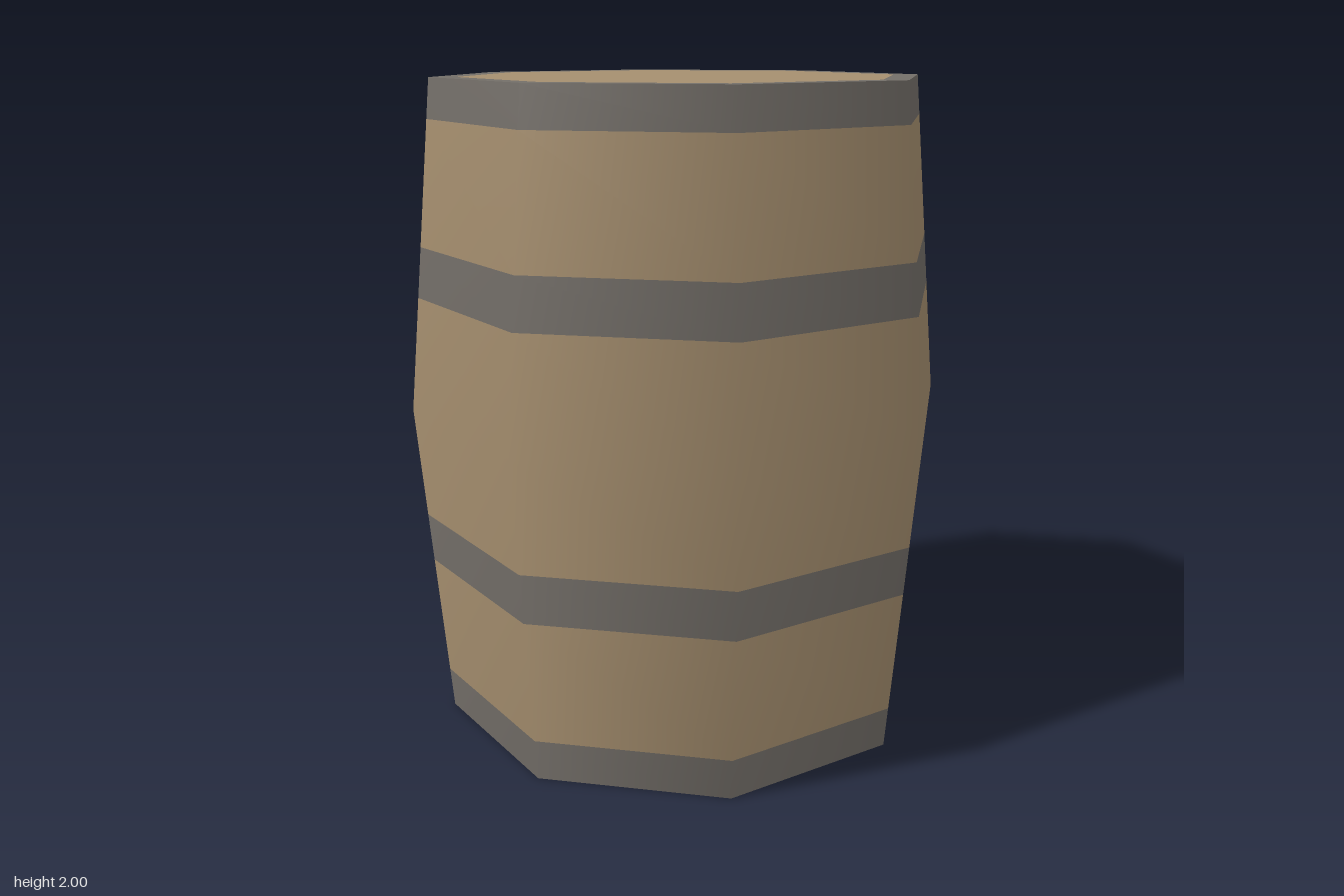
import * as THREE from 'three';

const SIDES = 8;
const TURN = Math.PI / SIDES; // flat sides face the axes
const toCorner = (apothem) => apothem / Math.cos(TURN);
const END = toCorner(0.695), BELLY = toCorner(0.777), RIM = toCorner(0.622);
const radiusAt = (y) => BELLY - (BELLY - END) * Math.abs(y - 1);

// One horizontal band of the barrel wall, with normals following the bulge
function wallBand(y0, y1) {
  const heights = y0 < 1 && y1 > 1 ? [y0, 1, y1] : [y0, y1];
  const points = heights.map((y) => new THREE.Vector2(radiusAt(y), y));
  const geo = new THREE.LatheGeometry(points, SIDES, TURN);
  const pos = geo.attributes.position;
  const n = new THREE.Vector3();
  for (let i = 0; i < pos.count; i++) {
    n.set(pos.getX(i), 0, pos.getZ(i)).normalize();
    n.y = (BELLY - END) * (pos.getY(i) - 1);
    n.normalize();
    geo.attributes.normal.setXYZ(i, n.x, n.y, n.z);
  }
  return geo;
}

export function createModel() {
  const wood = new THREE.MeshStandardMaterial({ color: 0xa68f6f });
  wood.name = 'wood';
  const iron = new THREE.MeshStandardMaterial({ color: 0x746f69 });
  iron.name = 'iron';

  const barrel = new THREE.Group();
  barrel.name = 'barrel';
  const add = (name, geo, material) => {
    const mesh = new THREE.Mesh(geo, material);
    mesh.name = name;
    barrel.add(mesh);
    return mesh;
  };

  // Alternating iron hoops and wooden staves, from bottom to top
  const levels = [0, 0.125, 0.505, 0.657, 1.348, 1.502, 1.88, 2];
  for (let i = 0; i < levels.length - 1; i++) {
    const isHoop = i % 2 === 0;
    add(isHoop ? 'hoop' : 'staves', wallBand(levels[i], levels[i + 1]), isHoop ? iron : wood);
  }

  // Lid and base, each a wooden head inside an iron rim
  for (const [name, y, tilt] of [['lid', 2, -Math.PI / 2], ['base', 0, Math.PI / 2]]) {
    const head = new THREE.CircleGeometry(RIM, SIDES, TURN).rotateX(tilt);
    const rim = new THREE.RingGeometry(RIM, END, SIDES, 1, TURN).rotateX(tilt);
    add(name + 'Head', head, wood).position.y = y;
    add(name + 'Rim', rim, iron).position.y = y;
  }
  return barrel;
}
